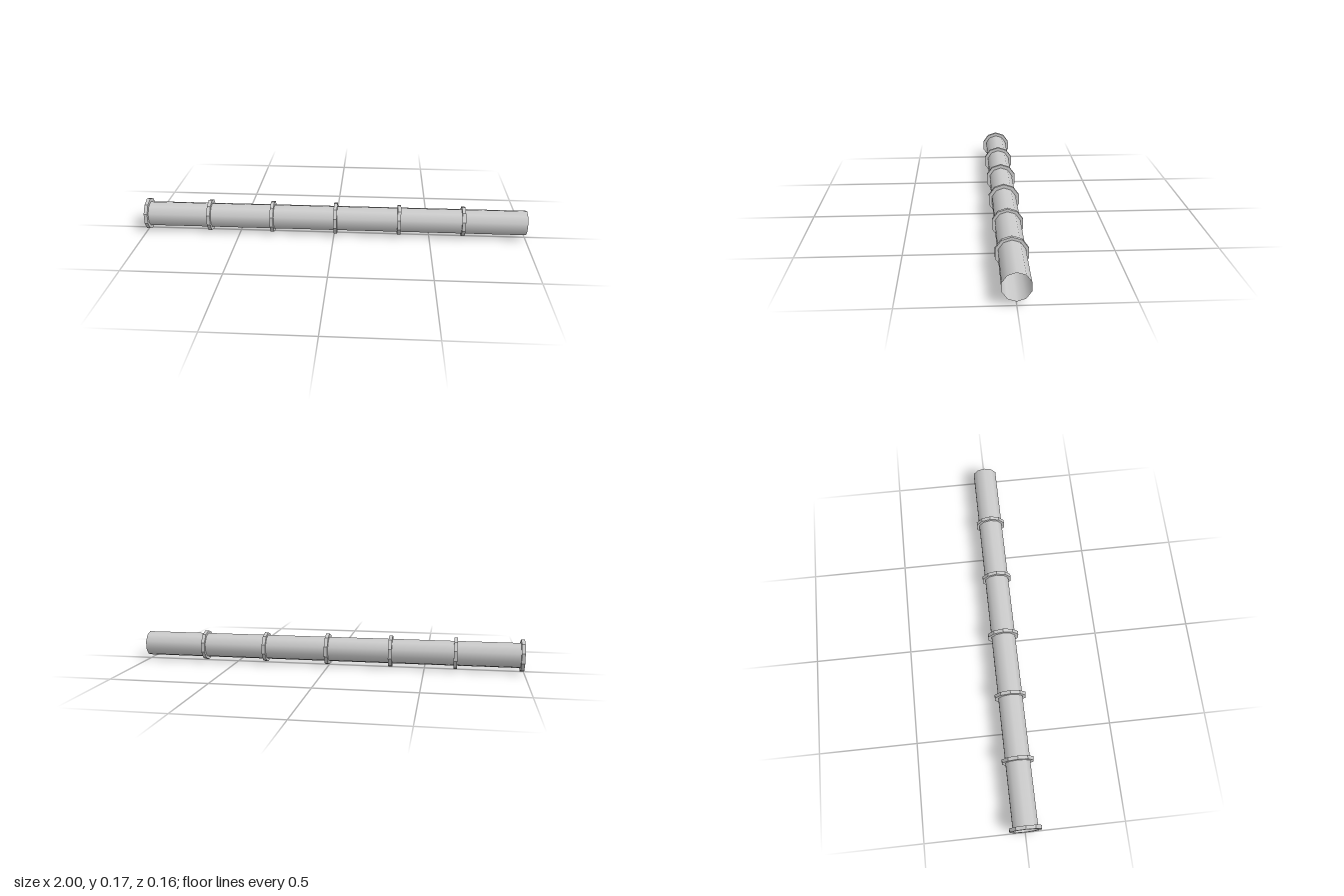
import * as THREE from 'three';

const SIDES = 10;
const PIPE_RADIUS = 0.065;
const AXIS_HEIGHT = 0.083;

// Turns a y-axis solid so it runs along x with a corner pointing up
function layAlongX(geometry) {
  return geometry.rotateZ(Math.PI / 2);
}

// Raised collar: two flat faces and an outer band, closed inside by the pipe
function collarGeometry(radius, width) {
  const h = width / 2;
  const profile = [
    new THREE.Vector2(PIPE_RADIUS, -h),
    new THREE.Vector2(radius, -h),
    new THREE.Vector2(radius, h),
    new THREE.Vector2(PIPE_RADIUS, h),
  ];
  return layAlongX(new THREE.LatheGeometry(profile, SIDES, Math.PI / 2));
}

export function createModel() {
  const model = new THREE.Group();
  model.name = 'collaredPipe';

  // Thin pipe, open at both ends
  const pipe = new THREE.Mesh(
    layAlongX(new THREE.CylinderGeometry(PIPE_RADIUS, PIPE_RADIUS, 2, SIDES, 1, true, Math.PI / 2)),
    new THREE.MeshStandardMaterial({ color: 0xcccccc, side: THREE.DoubleSide })
  );
  pipe.name = 'pipe';
  pipe.position.y = AXIS_HEIGHT;
  model.add(pipe);

  // Evenly spaced collars; the last two are slightly smaller
  const collarMaterial = new THREE.MeshStandardMaterial({
    color: 0xcccccc, flatShading: true, side: THREE.DoubleSide,
  });
  for (let i = 0; i < 6; i++) {
    const radius = i < 4 ? 0.083 : 0.079;
    const collar = new THREE.Mesh(collarGeometry(radius, 0.018), collarMaterial);
    collar.name = `collar${i + 1}`;
    collar.position.set(-0.991 + i * 0.333, AXIS_HEIGHT, 0);
    model.add(collar);
  }

  return model;
}
